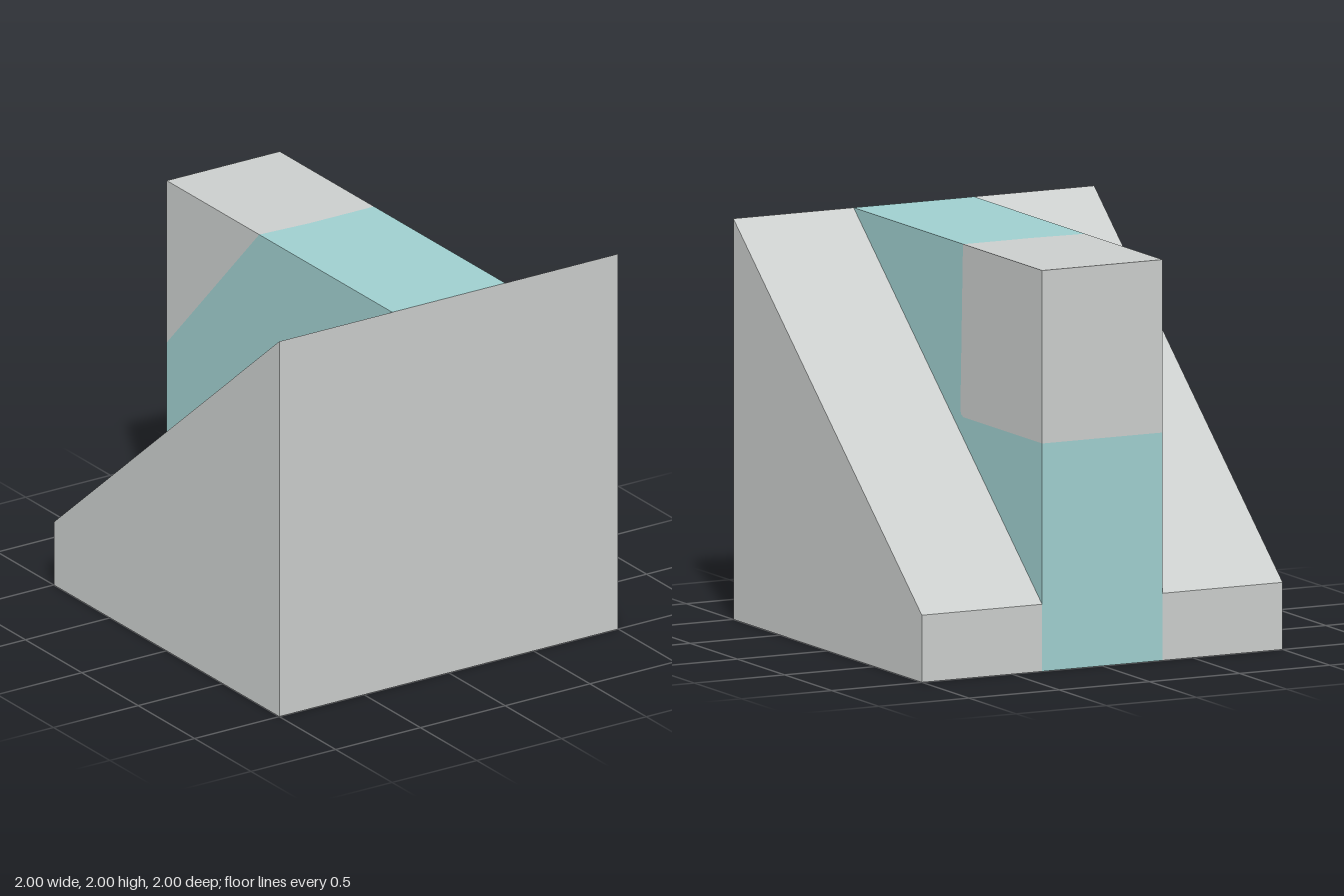
import * as THREE from 'three';

const W = 1 / 3; // half width of the central block

function material(name, color) {
  const m = new THREE.MeshStandardMaterial({ color });
  m.name = name;
  return m;
}

export function createModel() {
  const grey = material('light grey', 0xcacdcc);
  const teal = material('pale teal', 0x9fcece);
  const model = new THREE.Group();

  // Side wedges: steep ramps falling from the front wall to a low back edge
  const profile = new THREE.Shape([[-1, 0], [1, 0], [1, 0.335], [-1, 2]].map(p => new THREE.Vector2(...p)));
  for (const [name, x] of [['leftRamp', W], ['rightRamp', -1]]) {
    const geo = new THREE.ExtrudeGeometry(profile, { depth: 1 - W, bevelEnabled: false });
    geo.rotateY(Math.PI / 2).translate(x, 0, 0);
    const ramp = new THREE.Mesh(geo, grey);
    ramp.name = name;
    model.add(ramp);
  }

  // Central block, built from flat faces so each can carry its two colours
  const block = new THREE.Group();
  block.name = 'centralBlock';
  model.add(block);
  const face = (name, mat, pts, [rx, ry], offset) => {
    const geo = new THREE.ShapeGeometry(new THREE.Shape(pts.map(p => new THREE.Vector2(...p))));
    geo.rotateX(rx).rotateY(ry).translate(...offset);
    const mesh = new THREE.Mesh(geo, mat);
    mesh.name = name;
    block.add(mesh);
  };
  const H = Math.PI / 2;

  // Left side (u = -z): grey corner with a small rounded bend
  const bend = [[0.16, 2], [0.133, 1.18], [0.138, 1.15], [0.165, 1.137], [1, 1.137]];
  face('leftSideGrey', grey, [...bend, [1, 2]], [0, H], [W, 0, 0]);
  face('leftSideTeal', teal, [[-1, 0], [1, 0], ...[...bend].reverse(), [-1, 2]], [0, H], [W, 0, 0]);

  // Right side (u = z): grey triangle with a diagonal border
  face('rightSideGrey', grey, [[-1, 1.137], [-0.18, 2], [-1, 2]], [0, -H], [-W, 0, 0]);
  face('rightSideTeal', teal, [[-1, 0], [1, 0], [1, 2], [-0.18, 2], [-1, 1.137]], [0, -H], [-W, 0, 0]);

  // Back: teal below, grey above
  face('backTeal', teal, [[-W, 0], [W, 0], [W, 1.137], [-W, 1.137]], [0, Math.PI], [0, 0, -1]);
  face('backGrey', grey, [[-W, 1.137], [W, 1.137], [W, 2], [-W, 2]], [0, Math.PI], [0, 0, -1]);

  // Top (v = -z): teal to the front, grey to the back
  const seam = [[W, 0.163], [-0.05, 0.163], [-W, 0.18]];
  face('topTeal', teal, [[-W, -1], [W, -1], ...seam], [-H, 0], [0, 2, 0]);
  face('topGrey', grey, [...[...seam].reverse(), [W, 1], [-W, 1]], [-H, 0], [0, 2, 0]);

  // Underside strip and plain front
  face('underside', teal, [[-W, -1], [W, -1], [W, 1], [-W, 1]], [H, 0], [0, 0, 0]);
  face('frontWall', grey, [[-W, 0], [W, 0], [W, 2], [-W, 2]], [0, 0], [0, 0, 1]);

  return model;
}
